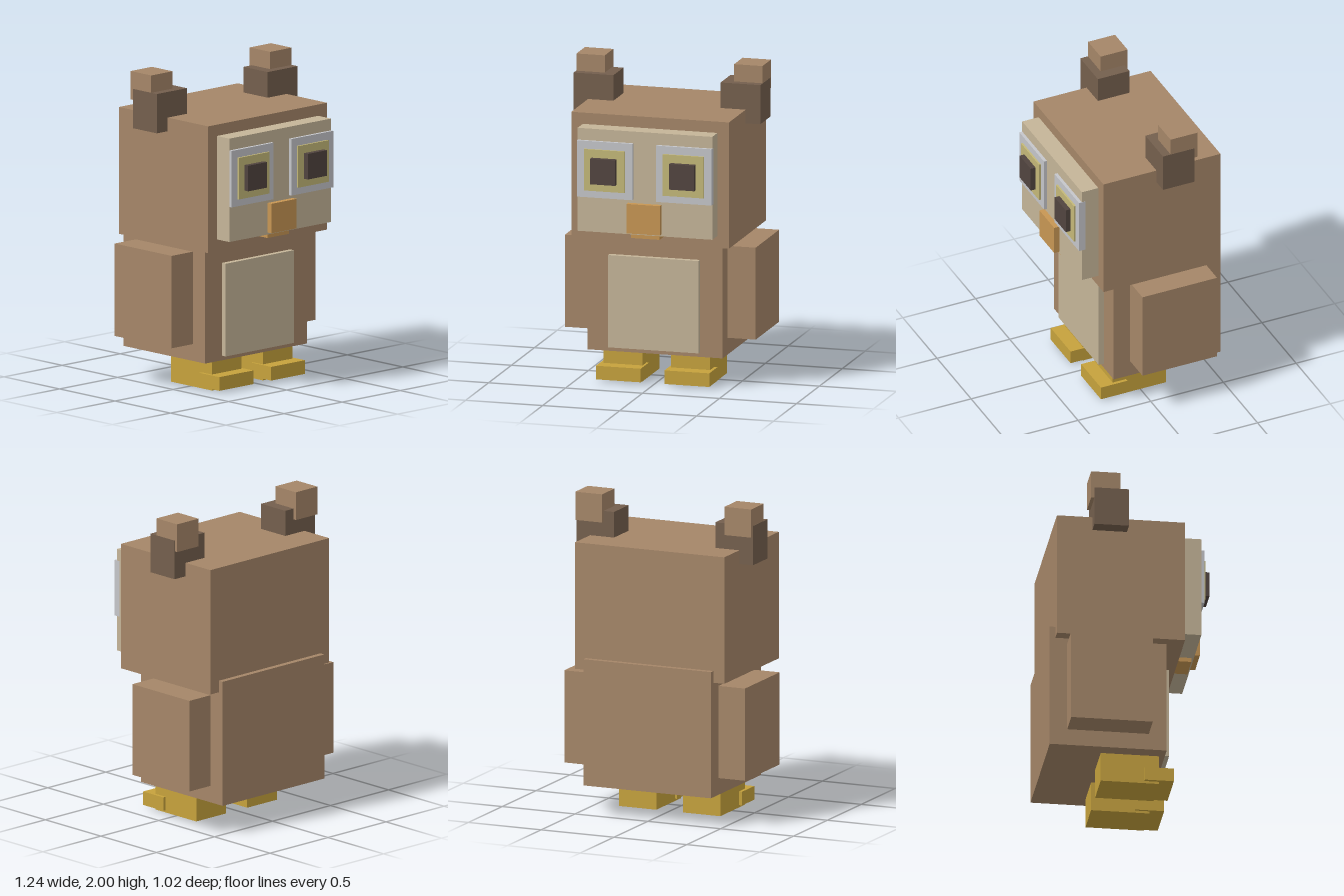
import * as THREE from 'three';

const mat = (name, color) => {
  const m = new THREE.MeshStandardMaterial({ color });
  m.name = name;
  return m;
};

export function createModel() {
  const brown = mat('brown feathers', 0xa58668);
  const dark = mat('dark feathers', 0x745f4d);
  const cream = mat('cream feathers', 0xc5b598);
  const white = mat('eye white', 0xc5c6ca);
  const iris = mat('iris yellow', 0xc4b878);
  const black = mat('pupil dark', 0x51443f);
  const orange = mat('beak orange', 0xc79653);
  const yellow = mat('leg yellow', 0xc6a23c);

  const owl = new THREE.Group();
  owl.name = 'owl';

  // Box given by its extents along x, y and z
  const box = (name, material, [x0, x1], [y0, y1], [z0, z1]) => {
    const mesh = new THREE.Mesh(new THREE.BoxGeometry(x1 - x0, y1 - y0, z1 - z0), material);
    mesh.position.set((x0 + x1) / 2, (y0 + y1) / 2, (z0 + z1) / 2);
    mesh.name = name;
    owl.add(mesh);
  };
  // The same box on the left (+x) and the right (-x)
  const pair = (name, material, [x0, x1], y, z) => {
    box('left' + name, material, [x0, x1], y, z);
    box('right' + name, material, [-x1, -x0], y, z);
  };

  // Trunk and head
  box('body', brown, [-0.438, 0.438], [0.19, 0.995], [-0.51, 0.225]);
  box('belly', cream, [-0.295, 0.292], [0.22, 0.81], [0.2, 0.26]);
  box('head', brown, [-0.513, 0.511], [0.92, 1.727], [-0.475, 0.33]);
  box('face', cream, [-0.438, 0.436], [0.997, 1.655], [0.3, 0.443]);

  // Beak
  box('upperBeak', orange, [-0.11, 0.107], [1.01, 1.198], [0.4, 0.479]);
  box('lowerBeak', orange, [-0.095, 0.09], [0.97, 1.02], [0.3, 0.428]);

  // Eyes, stacked in layers
  pair('EyeWhite', white, [0.076, 0.437], [1.22, 1.58], [0.42, 0.463]);
  pair('Iris', iris, [0.124, 0.388], [1.265, 1.53], [0.43, 0.475]);
  pair('Pupil', black, [0.175, 0.338], [1.315, 1.478], [0.44, 0.508]);

  // Ear tufts
  pair('EarBase', dark, [0.348, 0.606], [1.64, 1.89], [-0.252, -0.035]);
  pair('EarTip', brown, [0.42, 0.604], [1.82, 2.0], [-0.273, -0.088]);

  // Wings
  pair('Wing', brown, [0.42, 0.62], [0.297, 0.885], [-0.4, 0.113]);

  // Legs and feet
  pair('Leg', yellow, [0.092, 0.347], [0, 0.2], [-0.177, 0.19]);
  pair('Foot', yellow, [0.077, 0.368], [0.015, 0.102], [0.098, 0.28]);

  return owl;
}
